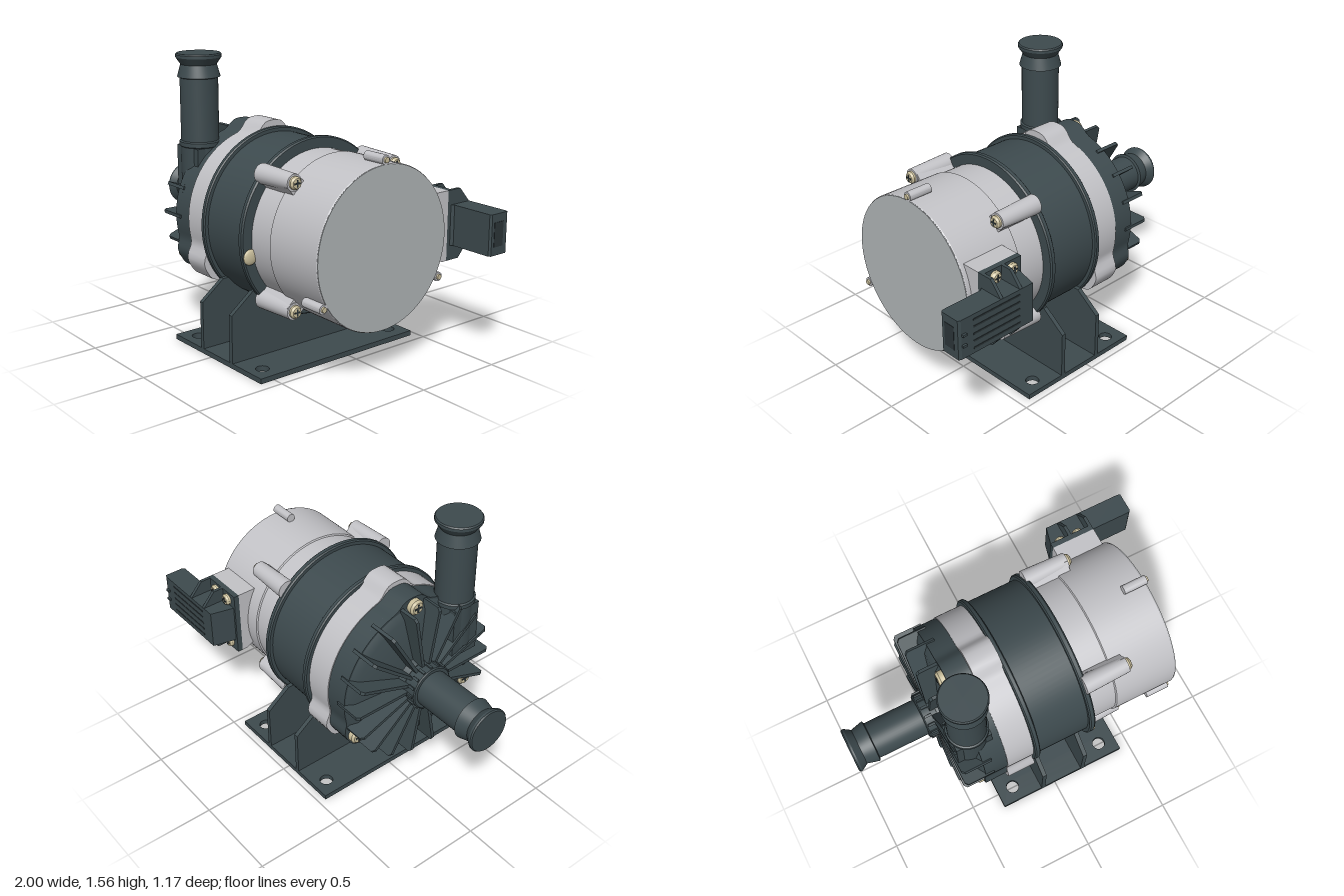
import * as THREE from 'three';
import { toCreasedNormals } from 'three/addons/utils/BufferGeometryUtils.js';

const paint = (name, color) => {
  const m = new THREE.MeshStandardMaterial({ color });
  m.name = name;
  return m;
};

export function createModel() {
  const dark = paint('dark slate', 0x3d4a4e);
  const silver = paint('cast silver', 0xc3c3c7);
  const grey = paint('cover grey', 0xb0b5b7);
  const cream = paint('bolt cream', 0xcbc09d);
  const recess = paint('slot shadow', 0x2c3538);

  const model = new THREE.Group();
  model.name = 'pump';
  // Everything round shares one axis along x; this group sits on it.
  const body = new THREE.Group();
  body.name = 'pumpBody';
  body.position.set(0, 0.685, 0.065);
  model.add(body);

  const add = (parent, name, geo, mat, x = 0, y = 0, z = 0) => {
    const mesh = new THREE.Mesh(geo, mat);
    mesh.name = name;
    mesh.position.set(x, y, z);
    parent.add(mesh);
    return mesh;
  };
  const box = (w, h, d) => new THREE.BoxGeometry(w, h, d);
  // Turned solid from [radius, height] pairs, along y or laid along x.
  const turned = (pts, seg = 64) =>
    toCreasedNormals(new THREE.LatheGeometry(pts.map(p => new THREE.Vector2(...p)), seg), 0.5);
  const turnedX = (pts, seg) => turned(pts, seg).rotateZ(-Math.PI / 2);
  // Outline of [z, y] pairs extruded from x0 to x1.
  const slabX = (pts, x0, x1) => {
    const shape = new THREE.Shape(pts.map(([z, y]) => new THREE.Vector2(-z, y)));
    const geo = new THREE.ExtrudeGeometry(shape, { depth: x1 - x0, bevelEnabled: false });
    return toCreasedNormals(geo.rotateY(Math.PI / 2).translate(x0, 0, 0), 0.5);
  };
  // Round outline with three ears: top and both lower sides.
  const eared = (radius, ear) => Array.from({ length: 120 }, (_, i) => {
    const a = i / 120 * Math.PI * 2;
    const step = Math.PI * 2 / 3;
    let d = (a - Math.PI / 2 + Math.PI * 2) % step;
    d = Math.min(d, step - d);
    const r = radius + ear * Math.exp(-((d / 0.19) ** 4));
    return [Math.cos(a) * r, Math.sin(a) * r];
  });
  // Screw with a crosshead, facing +x.
  const screw = (parent, name, r, x, y, z) => {
    const g = new THREE.Group();
    g.name = name;
    g.position.set(x, y, z);
    parent.add(g);
    add(g, 'screwHead', turnedX([[0, -0.02], [r, -0.02], [r, 0.006], [r * 0.75, 0.018], [0, 0.02]], 24), cream);
    add(g, 'crossSlotA', box(0.004, r * 1.1, r * 0.25), recess, 0.0195);
    add(g, 'crossSlotB', box(0.004, r * 0.25, r * 1.1), recess, 0.0195);
    return g;
  };

  // Clamp band with raised rims
  add(body, 'clampBand', turnedX([[0, -0.125], [0.475, -0.125], [0.482, -0.118], [0.482, -0.1], [0.475, -0.094],
    [0.456, -0.094], [0.456, 0.205], [0.475, 0.205], [0.482, 0.212], [0.482, 0.232], [0.475, 0.24], [0, 0.24]], 96), dark);

  // Eared adapter ring and pump flange
  add(body, 'adapterRing', slabX(eared(0.455, 0.062), -0.28, -0.12), silver);
  add(body, 'pumpFlange', slabX(eared(0.45, 0.04), -0.41, -0.28), dark);

  // Pump head with radial fins and an inlet hub
  add(body, 'pumpHead', turnedX([[0, -0.5], [0.13, -0.5], [0.14, -0.46], [0.4, -0.435], [0.44, -0.41], [0.45, -0.37], [0, -0.37]]), dark);
  const finShape = new THREE.Shape([[-0.53, 0.08], [-0.36, 0.08], [-0.36, 0.458], [-0.515, 0.458], [-0.53, 0.44]]
    .map(p => new THREE.Vector2(...p)));
  const finGeo = new THREE.ExtrudeGeometry(finShape, { depth: 0.018, bevelEnabled: false }).translate(0, 0, -0.009);
  for (let i = 0; i < 18; i++) {
    add(body, 'coolingFin', finGeo, dark).rotation.x = (i + 0.5) / 18 * Math.PI * 2;
  }
  for (let i = 0; i < 3; i++) {
    const a = Math.PI / 2 + i * Math.PI * 2 / 3;
    screw(body, 'headBolt', 0.043, -0.43, Math.sin(a) * 0.44, Math.cos(a) * 0.44).rotation.y = Math.PI;
  }

  // Inlet pipe with a barbed end
  add(body, 'inletPipe', turnedX([[0, -1], [0.118, -1], [0.124, -0.993], [0.124, -0.982], [0.1, -0.945], [0.118, -0.875], [0.103, -0.87],
    [0.103, -0.58], [0.12, -0.58], [0.126, -0.574], [0.126, -0.5], [0, -0.5]], 48), dark);
  for (let i = 0; i < 16; i++) {
    const a = i / 16 * Math.PI * 2;
    add(body, 'collarRib', box(0.04, 0.014, 0.014), dark, -0.55, Math.sin(a) * 0.127, Math.cos(a) * 0.127).rotation.x = -a;
  }

  // Outlet pipe rising from the side of the pump head
  add(model, 'outletPipe', turned([[0, 0.8], [0.106, 0.8], [0.106, 1.05], [0.113, 1.055], [0.113, 1.078], [0.104, 1.084],
    [0.104, 1.425], [0.117, 1.43], [0.098, 1.497], [0.124, 1.535], [0.124, 1.55], [0.118, 1.557], [0, 1.557]], 48),
    dark, -0.42, 0, 0.34);
  add(model, 'outletNeck', box(0.2, 0.3, 0.17), dark, -0.42, 0.9, 0.34);

  // Motor housing and end cover
  add(body, 'motorHousing', turnedX([[0, 0.22], [0.42, 0.22], [0.42, 0.395], [0.428, 0.4], [0.43, 0.755], [0.427, 0.76], [0, 0.76]], 96), silver);
  add(body, 'endCover', turnedX([[0, 0.758], [0.426, 0.758], [0.426, 0.764], [0, 0.764]], 96), grey);

  // Four long bosses with bolts
  for (const sy of [-1, 1]) for (const sz of [-1, 1]) {
    const y = sy * 0.332, z = sz * 0.333;
    const boss = new THREE.Group();
    boss.name = 'motorBoss';
    body.add(boss);
    add(boss, 'bossBarrel', turnedX([[0, 0.22], [0.054, 0.22], [0.045, 0.475], [0, 0.475]], 24), silver, 0, y, z);
    add(boss, 'bossWeb', box(0.235, 0.09, 0.1), silver, 0.3525, y * 0.92, z * 0.92).rotation.x = -sy * sz * Math.PI / 4;
    screw(boss, 'motorBolt', 0.034, 0.48, y, z);
  }
  // Three short bosses at the cover
  for (let i = 0; i < 3; i++) {
    const a = Math.PI / 2 + i * Math.PI * 2 / 3;
    const y = Math.sin(a) * 0.45, z = Math.cos(a) * 0.45;
    add(body, 'coverBoss', turnedX([[0, 0.63], [0.025, 0.63], [0.025, 0.765], [0, 0.765]], 20), silver, 0, y, z);
    add(body, 'coverScrew', turnedX([[0, 0.755], [0.016, 0.755], [0.014, 0.775], [0, 0.775]], 16), cream, 0, y, z);
  }
  // Plug beside the clamp band
  add(body, 'sidePlug', new THREE.SphereGeometry(0.042, 20, 12), cream, 0.243, -0.085, 0.432).scale.x = 0.35;

  // Connector seat on the back of the motor
  add(model, 'connectorSeat', slabX([[-0.15, 0.5], [-0.3, 0.56], [-0.38, 0.52], [-0.412, 0.52],
    [-0.412, 0.9], [-0.15, 0.9]].reverse(), 0.48, 0.735), silver);

  // Electrical connector
  const plug = new THREE.Group();
  plug.name = 'connector';
  model.add(plug);
  add(plug, 'connectorBase', box(0.255, 0.38, 0.03), dark, 0.6075, 0.71, -0.427);
  const housing = new THREE.Shape([[0.49, 0.43], [0.73, 0.43], [0.75, 0.445], [0.99, 0.445], [1, 0.455], [1, 0.565], [0.985, 0.572], [0.525, 0.572]]
    .map(p => new THREE.Vector2(...p)));
  add(plug, 'connectorHousing', new THREE.ExtrudeGeometry(housing, { depth: 0.22, bevelEnabled: false })
    .rotateX(-Math.PI / 2), dark, 0, 0.6, 0);
  const webOutline = [[-0.43, 0.52], [-0.5, 0.52], [-0.57, 0.6], [-0.57, 0.82], [-0.5, 0.9], [-0.43, 0.9]];
  for (const x of [0.592, 0.717]) add(plug, 'connectorWeb', slabX(webOutline, x, x + 0.018), dark);
  for (const x of [0.545, 0.655]) for (const y of [0.565, 0.855]) {
    screw(plug, 'connectorScrew', 0.032, x, y, -0.448).rotation.y = Math.PI / 2;
  }
  for (let i = 0; i < 5; i++) add(plug, 'gripGroove', box(0.3, 0.01, 0.004), recess, 0.76, 0.63 + i * 0.04, -0.572);
  add(plug, 'socketRim', box(0.004, 0.13, 0.065), recess, 1, 0.71, -0.505);
  for (const y of [0.675, 0.735]) add(plug, 'latchNub', box(0.025, 0.012, 0.016), dark, 0.97, y, -0.576);

  // Base plate with mounting holes
  const foot = new THREE.Shape([[-0.335, -0.585], [0.44, -0.585], [0.44, 0.46], [-0.335, 0.46]]
    .map(p => new THREE.Vector2(...p)));
  for (const x of [-0.24, 0.34]) for (const z of [-0.38, 0.5]) {
    foot.holes.push(new THREE.Path().absarc(x, -z, 0.036, 0, Math.PI * 2, true));
  }
  add(model, 'basePlate', new THREE.ExtrudeGeometry(foot, { depth: 0.028, bevelEnabled: false, curveSegments: 24 })
    .rotateX(-Math.PI / 2), dark);

  // Two cradle plates under the clamp band
  const cradle = [[0.585, 0.02], [-0.46, 0.02], [-0.46, 0.29], [-0.32, 0.395], [0.45, 0.395], [0.585, 0.29]];
  for (const x of [-0.09, 0.172]) add(model, 'cradlePlate', slabX(cradle, x, x + 0.025), dark);

  return model;
}
